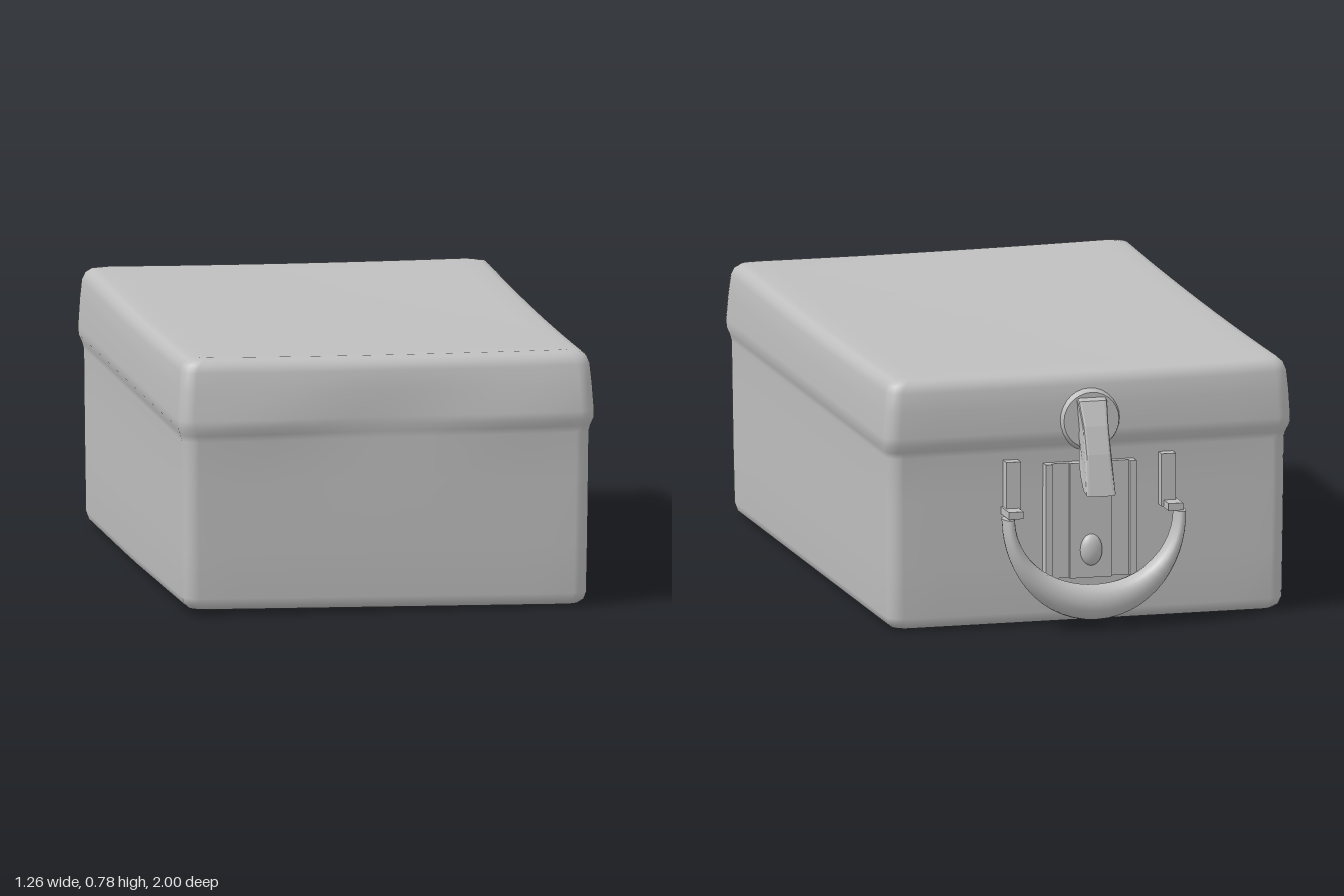
import * as THREE from 'three';

const grey = new THREE.MeshStandardMaterial({ color: 0xbfbfbf });
grey.name = 'plain grey';

// Skins a list of equal-length rings of points; each ring runs anticlockwise seen from its far end
function loft(rings) {
  const n = rings[0].length, pos = [], idx = [];
  rings.forEach(r => r.forEach(p => pos.push(...p)));
  for (let i = 0; i < rings.length - 1; i++) {
    for (let j = 0; j < n; j++) {
      const k = (j + 1) % n, a = i * n + j, b = i * n + k;
      idx.push(a, b, b + n, a, b + n, a + n);
    }
  }
  const g = new THREE.BufferGeometry();
  g.setAttribute('position', new THREE.Float32BufferAttribute(pos, 3));
  g.setIndex(idx);
  g.computeVertexNormals();
  return g;
}

function add(group, name, geometry, x = 0, y = 0, z = 0) {
  const m = new THREE.Mesh(geometry, grey);
  m.name = name;
  m.position.set(x, y, z);
  group.add(m);
  return m;
}

// Horizontal rounded rectangle, subdivided along its sides
function roundedRing(y, hx, front, back, r, s = 1) {
  const corners = [[hx - r, back + r], [-hx + r, back + r], [-hx + r, front - r], [hx - r, front - r]];
  const pts = [], cz = (front + back) / 2;
  corners.forEach(([x, z], c) => {
    for (let i = 0; i <= 5; i++) {
      const a = (c + i / 5) * Math.PI / 2;
      pts.push([x + r * Math.cos(a), z - r * Math.sin(a)]);
    }
    const p = pts[pts.length - 1];
    const [nx, nz] = corners[(c + 1) % 4], a = (c + 1) * Math.PI / 2;
    const q = [nx + r * Math.cos(a), nz - r * Math.sin(a)];
    for (let i = 1; i < 10; i++) pts.push([p[0] + (q[0] - p[0]) * i / 10, p[1] + (q[1] - p[1]) * i / 10]);
  });
  return pts.map(([x, z]) => [x * s, y, cz + (z - cz) * s]);
}

// Case body and lid: height, half width, front z, back z
function caseShell() {
  const rows = [
    [0.006, 0.57, 0.92, -0.795], [0.01, 0.59, 0.94, -0.815], [0.022, 0.604, 0.953, -0.832],
    [0.045, 0.611, 0.96, -0.842], [0.2, 0.613, 0.967, -0.845], [0.4, 0.615, 0.972, -0.848],
    [0.535, 0.616, 0.976, -0.85], [0.555, 0.621, 0.98, -0.858], [0.575, 0.629, 0.986, -0.867],
    [0.6, 0.63, 0.987, -0.87], [0.68, 0.625, 0.978, -0.868], [0.735, 0.62, 0.969, -0.862],
    [0.757, 0.612, 0.96, -0.852], [0.77, 0.598, 0.944, -0.837], [0.776, 0.575, 0.92, -0.812],
  ];
  const rings = rows.map(([y, hx, f, b]) => roundedRing(y, hx, f, b, 0.045));
  const cap = (row, s) => roundedRing(row[0], row[1], row[2], row[3], 0.045, s);
  const steps = [0.9, 0.75, 0.5, 0.25, 0];
  steps.forEach(s => {
    rings.unshift(cap(rows[0], s));
    rings.push(cap(rows[rows.length - 1], s));
  });
  // Soft sag of the lid, slight tilt of the floor and a gently wavy front lip
  rings.forEach(r => r.forEach(p => {
    const [x, y, z] = p;
    const up = THREE.MathUtils.smoothstep(y, 0.6, 0.76), low = 1 - THREE.MathUtils.smoothstep(y, 0, 0.3);
    p[1] += up * (0.013 * z * z + 0.012 * x * x - 0.011 - 0.005 * x);
    p[1] += low * 0.008 * Math.max(0, z) * (1 - x / 0.62);
    const lip = Math.exp(-(((y - 0.6) / 0.07) ** 2));
    if (z > 0.9) p[2] -= lip * 0.009 * Math.cos(x * 7.5);
  }));
  return loft(rings);
}

// Crescent grip, thick in the middle, with flat ends
function grip() {
  const rings = [];
  for (let i = 0; i <= 28; i++) {
    const a = Math.PI * i / 28, s = Math.sin(a);
    const x = 0.265 * Math.cos(a), y = 0.35 - 0.265 * s, z = -0.915 - 0.015 * s;
    const r = 0.018 + 0.036 * s * s, w = 0.036 + 0.009 * s;
    const ring = [];
    for (let j = 0; j < 16; j++) {
      const b = j / 16 * Math.PI * 2, d = r * Math.cos(b);
      ring.push([x + d * Math.cos(a), y - d * s, z + w * Math.sin(b)]);
    }
    const centre = ring.map(() => [x, y, z]);
    if (i === 0) rings.push(centre, ring);
    rings.push(ring);
    if (i === 28) rings.push(ring, centre);
  }
  return loft(rings);
}

export function createModel() {
  const model = new THREE.Group();
  model.name = 'case';
  add(model, 'caseShell', caseShell());

  // Carrying handle on the back
  const handle = new THREE.Group();
  handle.name = 'handle';
  model.add(handle);
  add(handle, 'grip', grip());
  for (const s of [-1, 1]) {
    add(handle, 'handleTab', new THREE.BoxGeometry(0.045, 0.16, 0.045), s * 0.24, 0.435, -0.863);
    add(handle, 'handleLug', new THREE.BoxGeometry(0.045, 0.022, 0.1), s * 0.247, 0.363, -0.89);
  }

  // Lock plate with folded sides, raised strip and button
  const lock = new THREE.Group();
  lock.name = 'lock';
  model.add(lock);
  add(lock, 'lockPlate', new THREE.BoxGeometry(0.28, 0.35, 0.03), 0, 0.325, -0.855);
  add(lock, 'lockStrip', new THREE.BoxGeometry(0.13, 0.35, 0.03), 0, 0.325, -0.868);
  for (const s of [-1, 1]) {
    add(lock, 'lockFlange', new THREE.BoxGeometry(0.02, 0.35, 0.04), s * 0.13, 0.325, -0.864);
  }
  const button = add(lock, 'lockButton', new THREE.SphereGeometry(1, 20, 14), 0, 0.235, -0.884);
  button.scale.set(0.034, 0.048, 0.022);

  // Round hasp base on the lid
  const base = new THREE.CylinderGeometry(0.085, 0.1, 0.04, 28);
  base.rotateX(-Math.PI / 2);
  add(lock, 'haspBase', base, 0, 0.63, -0.867);

  // Hanging hasp, side outline given as distance behind and height
  const outline = [[0.875, 0.70], [0.9, 0.688], [0.935, 0.62], [0.965, 0.54], [0.995, 0.425],
    [0.96, 0.432], [0.925, 0.47], [0.9, 0.51], [0.885, 0.57], [0.87, 0.6]];
  const shape = new THREE.Shape(outline.map(p => new THREE.Vector2(...p)));
  const hasp = new THREE.ExtrudeGeometry(shape, {
    depth: 0.07, bevelEnabled: true, bevelThickness: 0.01, bevelSize: 0.005, bevelSegments: 2,
  });
  hasp.translate(0, 0, -0.035);
  hasp.rotateY(Math.PI / 2);
  // Narrow the waist of the hasp
  const p = hasp.attributes.position;
  for (let i = 0; i < p.count; i++) {
    const waist = Math.exp(-(((p.getY(i) - 0.58) / 0.06) ** 2));
    p.setX(i, p.getX(i) * (1 - 0.2 * waist));
  }
  hasp.computeVertexNormals();
  add(lock, 'hasp', hasp);

  return model;
}
